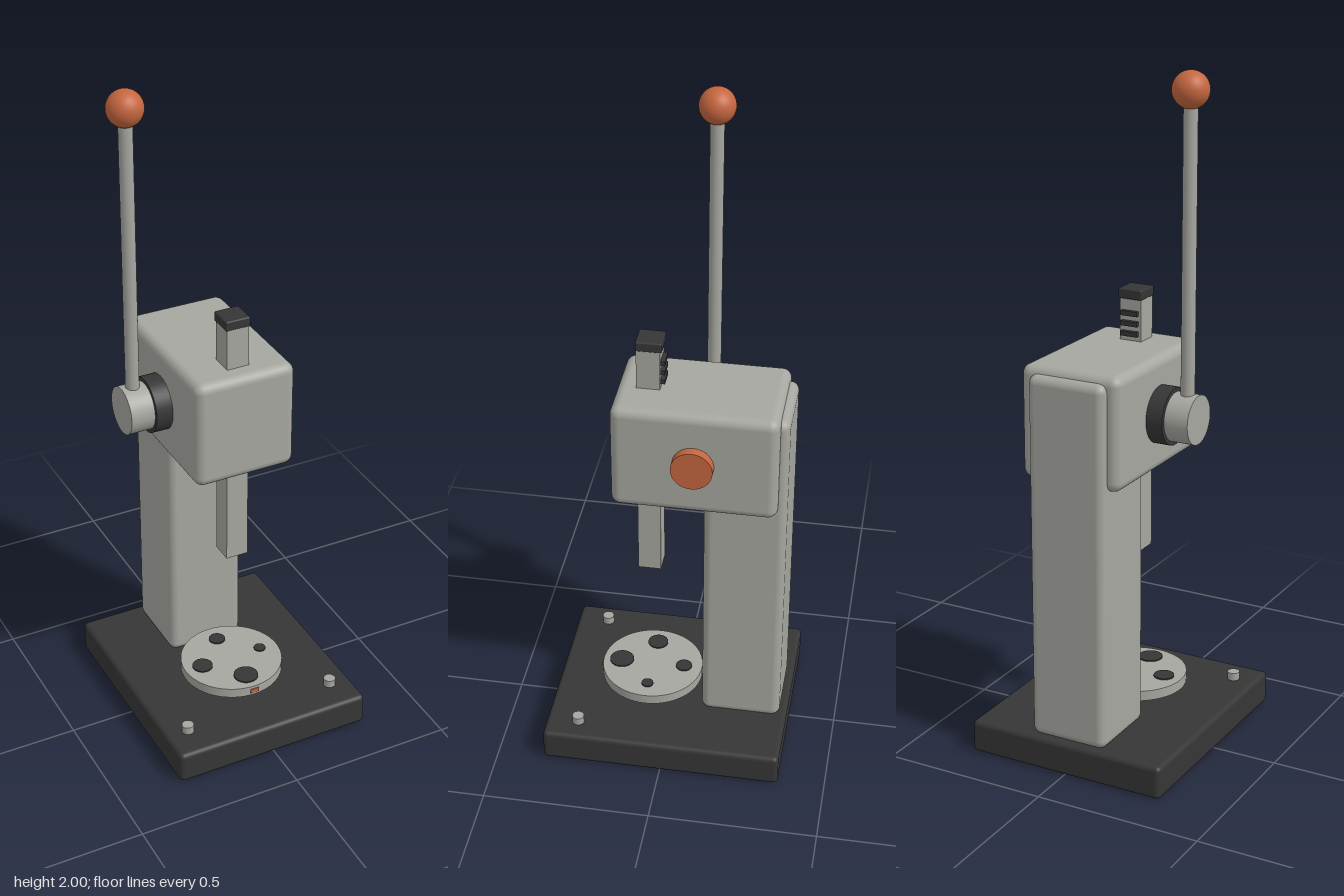
import * as THREE from 'three';
import { RoundedBoxGeometry } from 'three/addons/geometries/RoundedBoxGeometry.js';

export function createModel() {
  const press = new THREE.Group();
  press.name = 'leverPress';

  const mat = (name, color) => {
    const m = new THREE.MeshStandardMaterial({ color });
    m.name = name;
    return m;
  };
  const grey = mat('castGrey', 0xa6a7a0);
  const dark = mat('charcoal', 0x363636);
  const orange = mat('burntOrange', 0xc4663f);

  const add = (name, geometry, material, x, y, z) => {
    const mesh = new THREE.Mesh(geometry, material);
    mesh.name = name;
    mesh.position.set(x, y, z);
    press.add(mesh);
    return mesh;
  };
  // Boxes given by their minimum and maximum corners
  const box = (name, material, [x0, y0, z0], [x1, y1, z1], radius = 0) => {
    const size = [x1 - x0, y1 - y0, z1 - z0];
    const geometry = radius
      ? new RoundedBoxGeometry(...size, 4, radius)
      : new THREE.BoxGeometry(...size);
    return add(name, geometry, material, (x0 + x1) / 2, (y0 + y1) / 2, (z0 + z1) / 2);
  };
  // Upright cylinders between two heights
  const post = (name, material, r, y0, y1, x, z, sides = 32) =>
    add(name, new THREE.CylinderGeometry(r, r, y1 - y0, sides), material, x, (y0 + y1) / 2, z);
  // Cylinders along the pinion axis
  const axisY = 1.037, axisZ = -0.073;
  const axle = (name, material, r, x0, x1) => {
    const geometry = new THREE.CylinderGeometry(r, r, x1 - x0, 48).rotateZ(Math.PI / 2);
    return add(name, geometry, material, (x0 + x1) / 2, axisY, axisZ);
  };

  // Base, column and head
  box('base', dark, [-0.31, 0, -0.36], [0.31, 0.1, 0.36], 0.015);
  box('column', grey, [-0.12, 0.095, -0.338], [0.12, 1.18, -0.098], 0.025);
  box('head', grey, [-0.155, 0.87, -0.313], [0.155, 1.2, 0.165], 0.028);

  // Ram with its cap and rack teeth on the rear face
  box('ram', grey, [-0.034, 0.56, 0.04], [0.034, 1.325, 0.108]);
  box('ramCap', dark, [-0.038, 1.322, 0.034], [0.038, 1.352, 0.11], 0.005);
  for (let i = 0; i < 3; i++) {
    const y = 1.215 + i * 0.03;
    box('rackTooth', dark, [-0.026, y, 0.027], [0.026, y + 0.014, 0.042]);
  }

  // Pinion collar, lever hub and opposite end cap
  axle('pinionCollar', dark, 0.083, -0.205, -0.15);
  axle('leverHub', grey, 0.071, -0.277, -0.204);
  axle('endCap', orange, 0.06, 0.15, 0.184);

  // Lever and ball grip
  post('lever', grey, 0.02, axisY, 1.92, -0.242, axisZ);
  add('ballGrip', new THREE.SphereGeometry(0.052, 32, 24), orange, -0.242, 1.948, axisZ);

  // Turntable on its pedestal
  const tableZ = 0.073;
  post('pedestal', dark, 0.085, 0.098, 0.126, 0, tableZ);
  post('turntable', grey, 0.155, 0.125, 0.156, 0, tableZ, 64);

  // Die openings of decreasing size around the turntable
  [0.037, 0.031, 0.025, 0.018].forEach((r, i) => {
    const a = -i * Math.PI / 2;
    post('dieOpening', dark, r, 0.153, 0.16, 0.098 * Math.sin(a), tableZ + 0.098 * Math.cos(a));
  });
  box('indexMark', orange, [-0.014, 0.134, 0.224], [0.014, 0.147, 0.231]);

  // Front locating pins
  for (const side of [-1, 1]) post('basePin', grey, 0.018, 0.098, 0.124, side * 0.24, 0.262, 20);

  return press;
}
